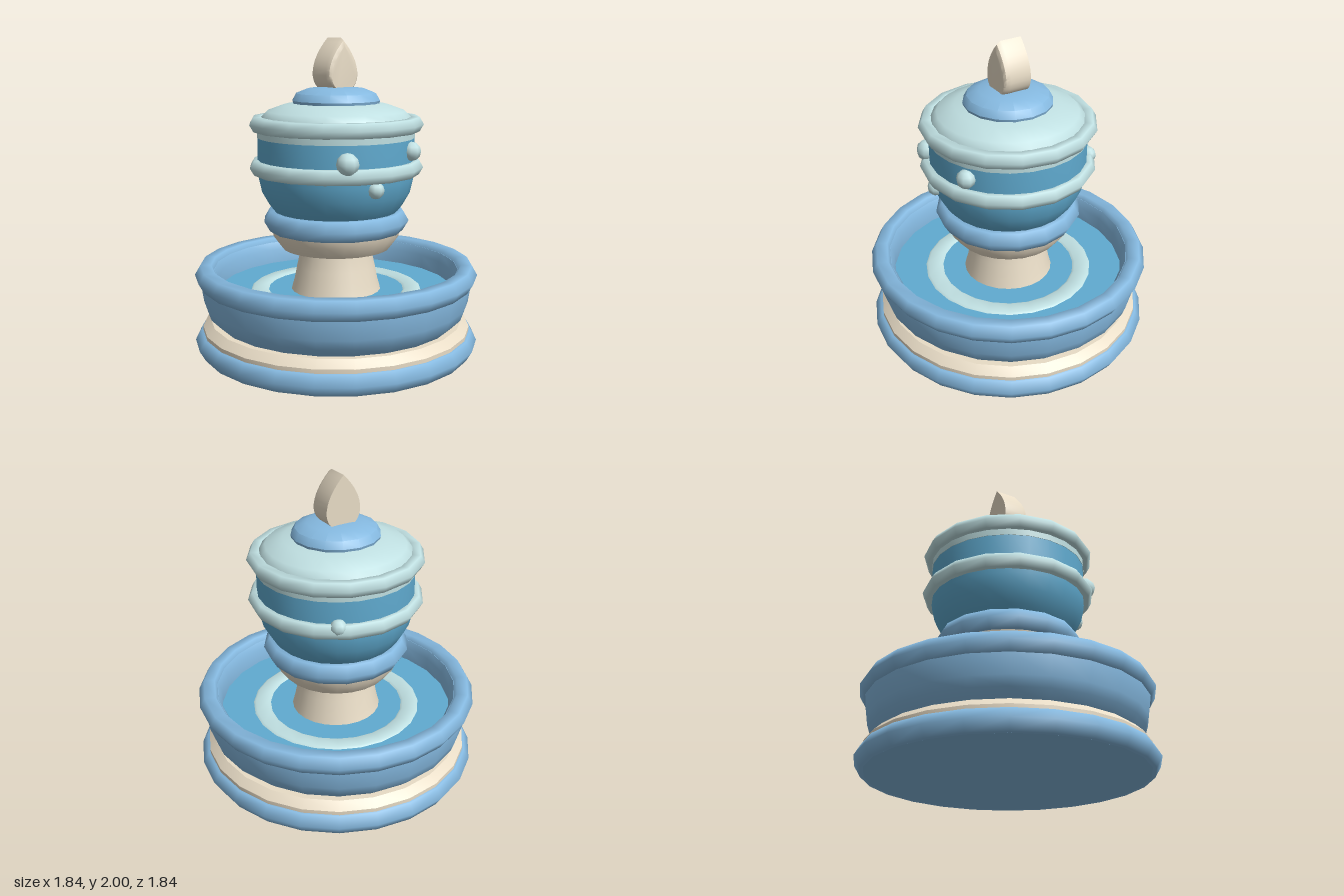
import * as THREE from 'three';
import { toCreasedNormals } from 'three/addons/utils/BufferGeometryUtils.js';

const material = (color) => new THREE.MeshStandardMaterial({ color });
const BLUE = material(0x85b9e0);
const TEAL = material(0x60abd0);
const MINT = material(0xc0e0e2);
const CREAM = material(0xe8dcc6);

export function createModel() {
  const model = new THREE.Group();

  function add(name, geometry, mat) {
    const mesh = new THREE.Mesh(geometry, mat);
    mesh.name = name;
    model.add(mesh);
    return mesh;
  }

  // Turned part from [radius, height] pairs, listed from the bottom up the outside
  function turned(name, profile, mat, sides = 24) {
    const points = profile.map(([r, y]) => new THREE.Vector2(r, y));
    return add(name, toCreasedNormals(new THREE.LatheGeometry(points, sides), 0.7), mat);
  }

  // Horizontal ring with a six-sided section
  function ring(name, y, radius, tube, mat, sides) {
    const geometry = new THREE.TorusGeometry(radius, tube, 6, sides).rotateX(Math.PI / 2);
    return add(name, geometry.translate(0, y, 0), mat);
  }

  // Foot
  turned('basePlate', [[0, 0], [0.86, 0], [0.86, 0.13], [0, 0.13]], BLUE);
  ring('baseRing', 0.065, 0.845, 0.075, BLUE, 24);
  turned('baseBand', [[0.8, 0.11], [0.87, 0.13], [0.87, 0.155], [0.82, 0.2], [0, 0.2]], CREAM);

  // Basin with water
  turned('basin', [
    [0, 0.19], [0.78, 0.2], [0.84, 0.26], [0.86, 0.32], [0.88, 0.45], [0.87, 0.53],
    [0.79, 0.53], [0.765, 0.48], [0.765, 0.36],
  ], BLUE);
  ring('basinRim', 0.5, 0.845, 0.07, BLUE, 24);
  turned('water', [[0.78, 0.385], [0, 0.385]], TEAL);
  turned('ripple', [[0.555, 0.385], [0.54, 0.395], [0.455, 0.395], [0.44, 0.385]], MINT);

  // Stem and cup
  turned('stem', [[0.295, 0.37], [0.275, 0.44], [0.255, 0.54], [0.235, 0.62], [0.23, 0.67]], CREAM);
  turned('cup', [[0, 0.64], [0.24, 0.64], [0.35, 0.665], [0.405, 0.74], [0.415, 0.79], [0, 0.82]], CREAM);
  ring('collar', 0.847, 0.397, 0.073, BLUE, 16);

  // Globe and lid
  turned('globe', [
    [0.28, 0.82], [0.385, 0.89], [0.43, 0.95], [0.475, 1.03], [0.495, 1.12], [0.5, 1.2],
    [0.5, 1.4], [0, 1.4],
  ], TEAL);
  turned('globeBand', [[0.49, 1.38], [0.503, 1.38], [0.503, 1.45], [0.48, 1.45]], MINT);
  ring('middleRing', 1.193, 0.505, 0.052, MINT, 16);
  ring('lidRing', 1.465, 0.505, 0.052, MINT, 16);
  turned('lid', [[0.49, 1.44], [0.475, 1.51], [0.44, 1.545], [0.33, 1.585], [0.2, 1.605], [0, 1.61]], MINT);
  turned('cap', [[0.2, 1.58], [0.275, 1.59], [0.28, 1.61], [0.255, 1.655], [0.18, 1.685], [0.1, 1.695], [0, 1.698]], BLUE, 16);

  // Knobs scattered around the globe: x, y, z, radius
  const knobs = [
    [-0.25, 1.27, 0.44, 0.07],
    [0.25, 1.31, 0.44, 0.06],
    [-0.07, 1.105, 0.482, 0.053],
    [0.25, 1.22, -0.44, 0.052],
  ];
  for (const [x, y, z, r] of knobs) {
    add('knob', new THREE.SphereGeometry(r, 8, 6), MINT).position.set(x, y, z);
  }

  // Teardrop finial: flat back, front edge rounded by shrinking the last layers
  const drop = new THREE.Shape();
  drop.moveTo(0, 2);
  drop.bezierCurveTo(-0.07, 1.93, -0.12, 1.85, -0.118, 1.77);
  drop.quadraticCurveTo(-0.11, 1.7, -0.06, 1.68);
  drop.lineTo(0.06, 1.68);
  drop.quadraticCurveTo(0.11, 1.7, 0.118, 1.77);
  drop.bezierCurveTo(0.12, 1.85, 0.07, 1.93, 0, 2);
  const layers = [[-0.088, 1], [0.05, 1], [0.077, 0.94], [0.087, 0.82]];
  const finial = new THREE.ExtrudeGeometry(drop, {
    depth: 3, steps: 3, bevelEnabled: false, curveSegments: 8,
  });
  const p = finial.attributes.position;
  for (let i = 0; i < p.count; i++) {
    const [z, s] = layers[Math.round(p.getZ(i))];
    p.setXYZ(i, p.getX(i) * s, 1.7 + (p.getY(i) - 1.7) * s, z);
  }
  add('finial', toCreasedNormals(finial, 0.7), CREAM);

  return model;
}
